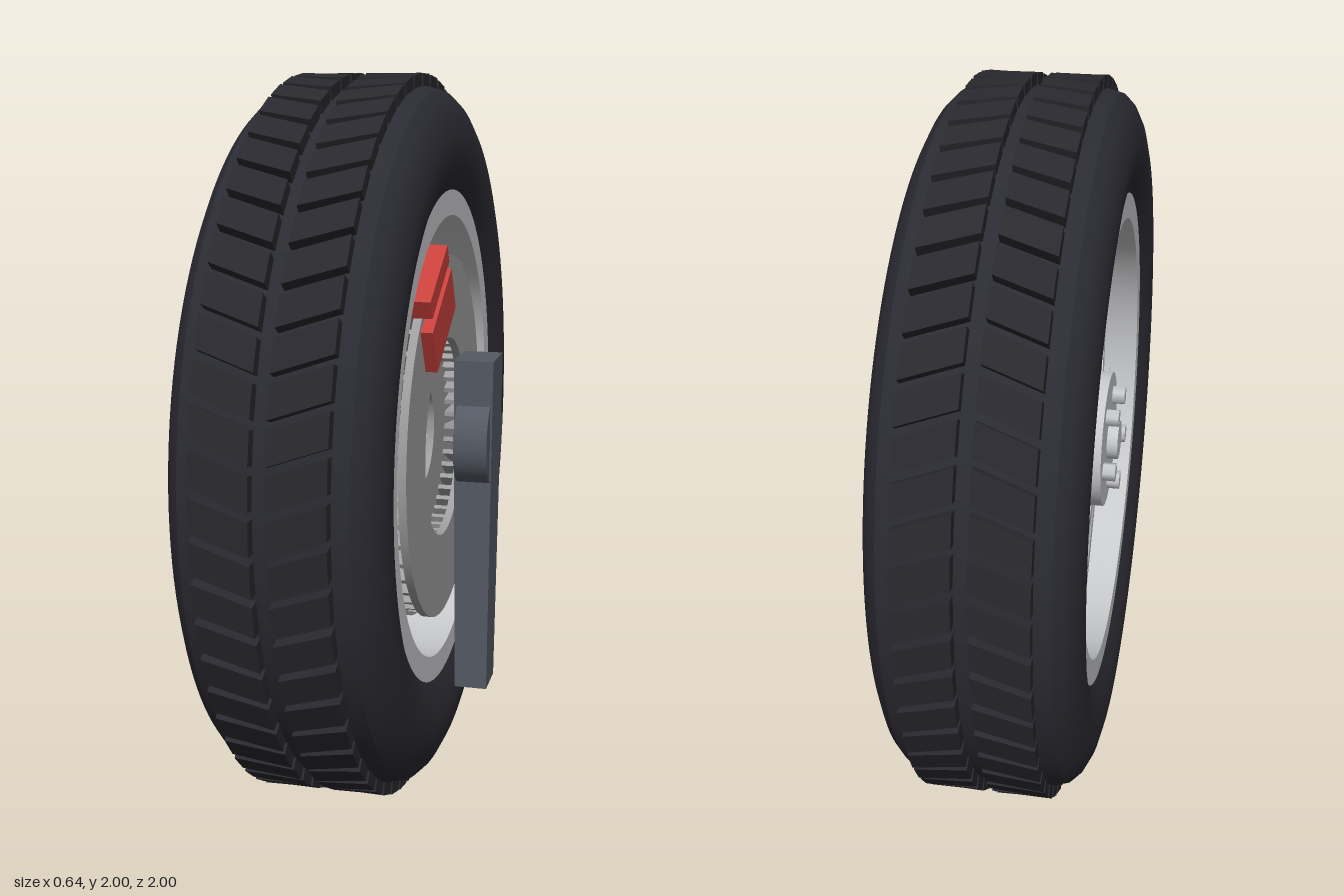
import * as THREE from 'three';
import { mergeGeometries, toCreasedNormals } from 'three/addons/utils/BufferGeometryUtils.js';

const mat = (name, color) => {
  const m = new THREE.MeshStandardMaterial({ color });
  m.name = name;
  return m;
};

export function createModel() {
  const rubber = mat('rubber', 0x2b2b33);
  const treadRubber = mat('treadRubber', 0x28282e);
  const alloy = mat('alloy', 0xc8c9cb);
  const steel = mat('brakeSteel', 0x9e9e9e);
  const red = mat('caliperRed', 0xc8403c);
  const iron = mat('armGrey', 0x545963);

  const model = new THREE.Group();
  const wheel = new THREE.Group();
  wheel.name = 'wheel';
  wheel.position.y = 1;
  model.add(wheel);

  const add = (name, geo, material) => {
    const mesh = new THREE.Mesh(geo, material);
    mesh.name = name;
    wheel.add(mesh);
    return mesh;
  };
  // Profile of [radius, x] pairs turned about the x axis
  const turned = (pts, segs = 96, crease = 0.45) => {
    const geo = new THREE.LatheGeometry(pts.map(([r, x]) => new THREE.Vector2(r, x)), segs);
    return toCreasedNormals(geo.rotateZ(-Math.PI / 2), crease);
  };
  const ring = (r0, r1, x0, x1) => turned([[r0, x0], [r1, x0], [r1, x1], [r0, x1], [r0, x0]]);
  const disc = (r, x0, x1, sides = 48) =>
    new THREE.CylinderGeometry(r, r, x1 - x0, sides).rotateZ(Math.PI / 2).translate((x0 + x1) / 2, 0, 0);
  const box = (x0, x1, r0, r1, width) =>
    new THREE.BoxGeometry(x1 - x0, r1 - r0, width).translate((x0 + x1) / 2, (r0 + r1) / 2, 0);
  // Copies of a geometry turned to several angles about the axle
  const around = (geo, angles) => mergeGeometries(angles.map(a => geo.clone().rotateX(a)));
  const steps = (n, start = 0) => Array.from({ length: n }, (_, i) => start + (i * 2 * Math.PI) / n);

  // Tyre body
  const mid = -0.058;
  const half = [[0.69, 0.235], [0.74, 0.255], [0.79, 0.264], [0.84, 0.262], [0.89, 0.25],
    [0.93, 0.23], [0.955, 0.205], [0.967, 0.16]];
  const tyre = [...half.map(([r, x]) => [r, mid - x]), ...half.slice().reverse().map(([r, x]) => [r, mid + x])];
  add('tyre', turned(tyre, 128), rubber);

  // Two rows of slanted tread blocks forming a chevron
  for (const side of [-1, 1]) {
    const block = new THREE.BoxGeometry(0.145, 0.045, 0.082);
    const p = block.attributes.position;
    for (let i = 0; i < p.count; i++) p.setZ(i, p.getZ(i) - side * p.getX(i) * 0.35);
    block.computeVertexNormals();
    block.translate(mid + side * 0.092, 0.9765, 0);
    add(side < 0 ? 'outerTread' : 'innerTread', around(block, steps(60)), treadRubber);
  }

  // Rim, hub and fastenings
  add('rim', ring(0.62, 0.7, -0.293, 0.177), alloy);
  add('hub', disc(0.19, -0.28, -0.17), alloy);
  add('hubCap', disc(0.055, -0.31, -0.27, 32), alloy);
  const pairs = steps(5, Math.PI);
  const lug = disc(0.026, -0.315, -0.27, 6).translate(0, 0.128, 0);
  add('lugNuts', around(lug, pairs), alloy);

  // Five pairs of spokes, leaning inwards towards the rim
  const spoke = box(-0.25, -0.15, 0.1, 0.63, 0.05);
  const sp = spoke.attributes.position;
  for (let i = 0; i < sp.count; i++) if (sp.getY(i) > 0.3) sp.setX(i, sp.getX(i) + 0.04);
  spoke.computeVertexNormals();
  const spread = 0.19;
  add('spokes', around(spoke, pairs.flatMap(a => [a - spread, a + spread])), alloy);

  // Ventilated brake disc
  add('brakeDiscFront', ring(0.28, 0.51, 0.153, 0.175), steel);
  add('brakeDiscBack', ring(0.135, 0.51, 0.09, 0.112), steel);
  add('brakeVanes', around(box(0.111, 0.154, 0.29, 0.5, 0.014), steps(48)), steel);

  // Caliper: a bridge over the disc edge with a pad on each side
  const caliper = new THREE.Group();
  caliper.name = 'caliper';
  caliper.rotation.x = Math.PI / 6;
  wheel.add(caliper);
  const parts = {
    caliperBridge: box(0.03, 0.21, 0.522, 0.575, 0.245),
    outerPad: box(0.178, 0.21, 0.357, 0.488, 0.275),
    innerPad: box(0.03, 0.085, 0.357, 0.488, 0.275),
  };
  for (const [name, geo] of Object.entries(parts)) caliper.add(add(name, geo, red));

  // Suspension arm, narrowing downwards, with its axle boss
  const arm = new THREE.BoxGeometry(0.11, 0.96, 0.158);
  const ap = arm.attributes.position;
  for (let i = 0; i < ap.count; i++) {
    if (ap.getY(i) < 0) ap.setXYZ(i, ap.getX(i) * 0.84, ap.getY(i), ap.getZ(i) * 0.78);
  }
  arm.computeVertexNormals();
  add('suspensionArm', arm.translate(0.265, -0.247, 0), iron);
  add('axleBoss', disc(0.132, 0.22, 0.313), iron);

  return model;
}
